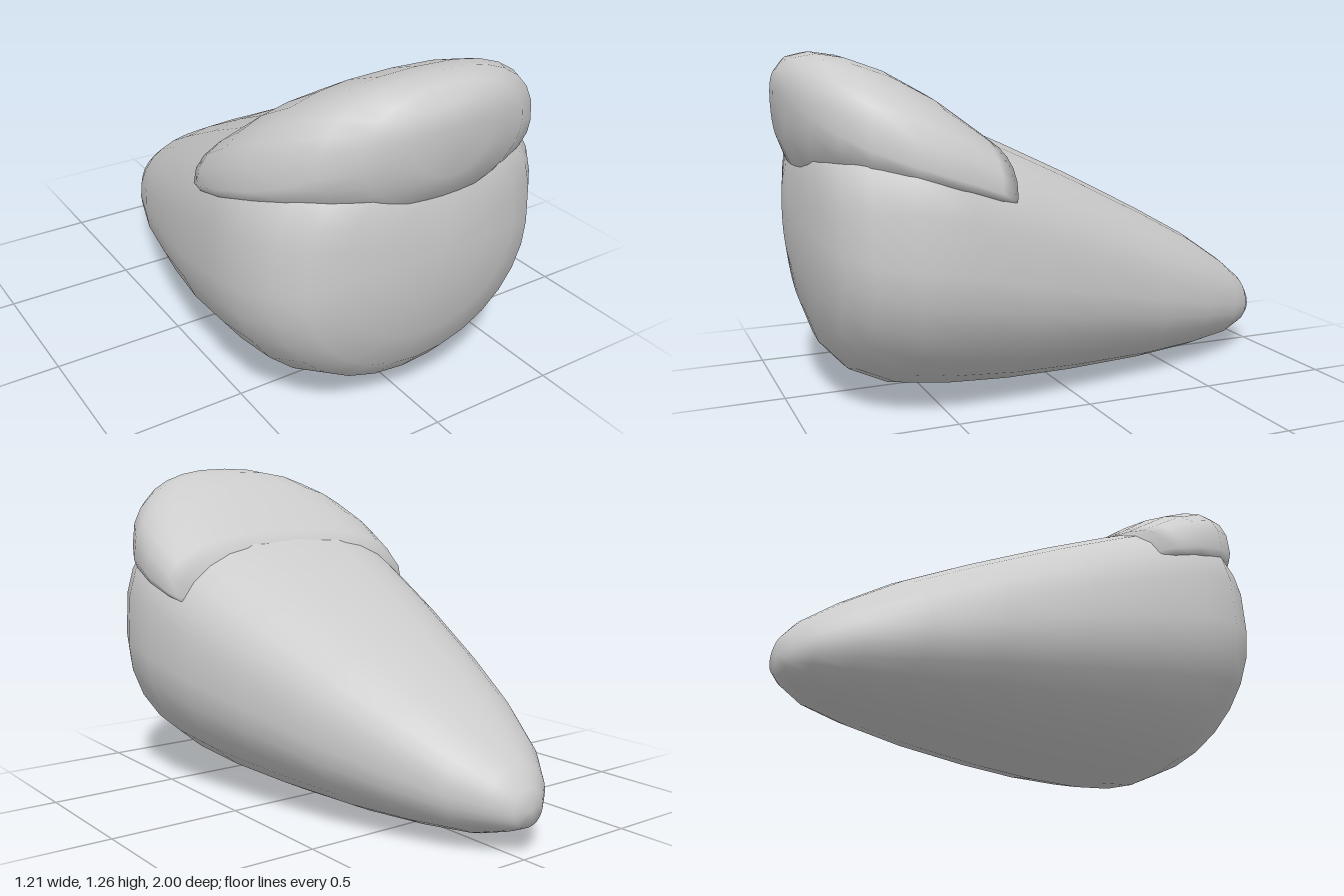
import * as THREE from 'three';

const material = new THREE.MeshStandardMaterial({ color: 0xcccccc });
const SIDES = 28;

// Teardrop body, tail to front: [z, bottom y, widest y, top y, half width, centre x, top squareness]
const BODY = [
  [-0.985, 0.10, 0.165, 0.235, 0.07, -0.03, 2], [-0.93, 0.075, 0.185, 0.30, 0.14, -0.03, 2.1],
  [-0.82, 0.04, 0.21, 0.385, 0.23, -0.03, 2.2], [-0.63, 0.02, 0.26, 0.51, 0.325, -0.025, 2.3],
  [-0.38, 0.005, 0.32, 0.645, 0.42, -0.02, 2.4], [-0.05, 0, 0.405, 0.81, 0.515, -0.012, 2.6],
  [0.22, 0.005, 0.47, 0.935, 0.578, -0.005, 2.8], [0.47, 0.02, 0.53, 1.045, 0.607, 0, 3],
  [0.65, 0.045, 0.56, 1.08, 0.60, 0, 3], [0.79, 0.11, 0.58, 1.05, 0.54, 0, 3],
  [0.87, 0.20, 0.60, 1.0, 0.46, 0, 3], [0.92, 0.335, 0.64, 0.95, 0.345, 0, 3],
  [0.95, 0.48, 0.66, 0.85, 0.20, 0, 2.5],
];

// Cap over the upper front, ending flush with the body's back slope
const CAP = [
  [0.30, 0.70, 0.78, 0.965, 0.555, 0, 2.5], [0.36, 0.70, 0.80, 1.01, 0.575, 0, 2.5],
  [0.50, 0.72, 0.85, 1.115, 0.587, 0, 2.5], [0.65, 0.74, 0.90, 1.20, 0.565, 0, 2.5],
  [0.78, 0.77, 0.95, 1.247, 0.505, 0, 2.5], [0.87, 0.80, 1.0, 1.26, 0.43, 0, 2.4],
  [0.94, 0.85, 1.05, 1.245, 0.32, 0, 2.2], [0.985, 0.95, 1.1, 1.20, 0.16, 0, 2],
];

// Skin over the sections, closed by a point at each end
function loft(sections, backPoint, frontPoint) {
  const pos = [], index = [];
  for (const [z, lo, mid, hi, w, cx, square] of sections) {
    for (let i = 0; i < SIDES; i++) {
      const a = (i / SIDES) * Math.PI * 2;
      const c = Math.cos(a), s = Math.sin(a);
      const e = s > 0 ? 2 / square : 1;
      const x = Math.sign(c) * Math.pow(Math.abs(c), e);
      const y = s > 0 ? (hi - mid) * Math.pow(s, e) : (mid - lo) * s;
      pos.push(cx + w * x, mid + y, z);
    }
  }
  const last = (sections.length - 1) * SIDES;
  const back = last + SIDES, front = back + 1;
  pos.push(...backPoint, ...frontPoint);
  for (let i = 0; i < SIDES; i++) {
    const j = (i + 1) % SIDES;
    for (let r = 0; r < last; r += SIDES) {
      index.push(r + i, r + j, r + SIDES + j, r + i, r + SIDES + j, r + SIDES + i);
    }
    index.push(back, j, i, front, last + i, last + j);
  }
  const g = new THREE.BufferGeometry();
  g.setAttribute('position', new THREE.Float32BufferAttribute(pos, 3));
  g.setIndex(index);
  g.computeVertexNormals();
  return g;
}

export function createModel() {
  const group = new THREE.Group();
  const body = new THREE.Mesh(loft(BODY, [-0.03, 0.16, -1], [0, 0.66, 0.965]), material);
  body.name = 'teardropBody';
  const cap = new THREE.Mesh(loft(CAP, [0, 0.78, 0.25], [0, 1.12, 1]), material);
  cap.name = 'frontCap';
  group.add(body, cap);
  return group;
}
